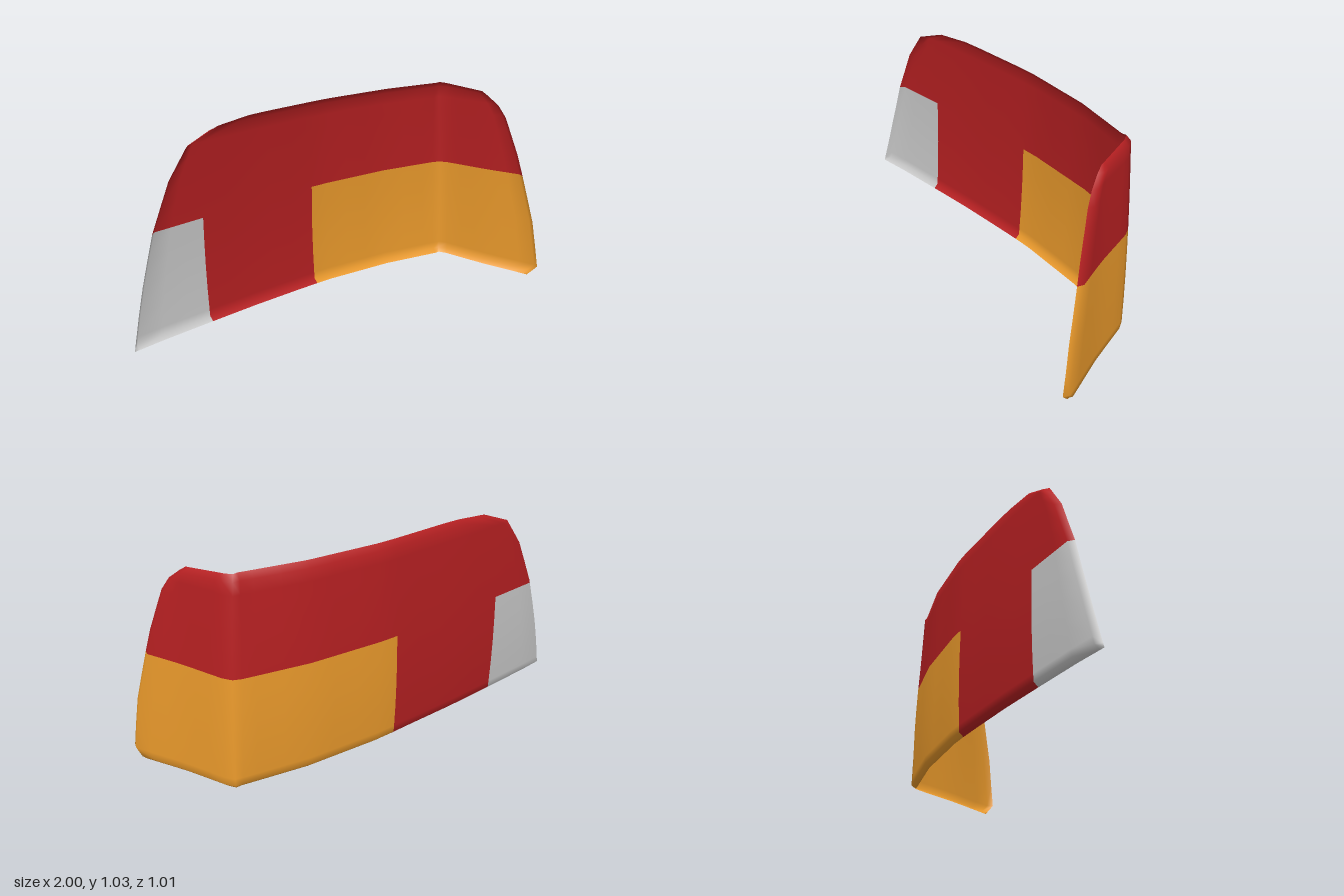
import * as THREE from 'three';

const { lerp, clamp } = THREE.MathUtils;

// Piecewise linear lookup in a list of [key, value] pairs
function look(table, k) {
  for (let i = 1; i < table.length; i++) {
    const [k0, v0] = table[i - 1], [k1, v1] = table[i];
    if (k <= k1 || i === table.length - 1) return lerp(v0, v1, clamp((k - k0) / (k1 - k0), 0, 1));
  }
}

// Plan of the lens: z along the rear panel, x along the side panel
const REAR = [[-1, -0.495], [-0.85, -0.482], [-0.56, -0.445], [-0.3, -0.41], [0.1, -0.343], [0.2, -0.323], [0.56, -0.223], [0.8, -0.125], [0.86, -0.1]];
const SIDE = [[-0.04, 0.902], [0.2, 0.93], [0.4, 0.967], [0.5, 0.985]];
// Outline: where the rear panel and the side panel end at each height
const REAR_END = [[0.035, -1], [0.3, -0.93], [0.567, -0.85], [0.8, -0.75], [0.94, -0.65], [1.007, -0.48]];
const SIDE_END = [[0.035, 0.45], [0.09, 0.505], [0.33, 0.465], [0.567, 0.4], [0.65, 0.38], [0.88, 0.3], [0.955, 0.25], [1.007, 0.17]];
const BAND = 0.567;
const ROWS = [0.035, 0.055, 0.09, 0.2, 0.33, 0.45, BAND, 0.68, 0.8, 0.88, 0.94, 0.985, 1.007];
const FACE = 0.015, LIP = -0.006;     // offsets of the face and of its turned-in rim
const GREY_END = 4, AMBER_START = 9;  // columns where the colours change

// One horizontal row, from the rear end round to the side end
function makeRow(y) {
  const xl = look(REAR_END, y), zr = look(SIDE_END, y), split = Math.max(-0.557, xl + 0.08);
  const plan = [];
  const rear = (x) => plan.push([x, look(REAR, x)]);
  rear(xl);
  for (let k = 0; k <= 3; k++) rear(lerp(xl + 0.025, split, k / 3));
  for (let k = 1; k <= 5; k++) rear(lerp(split, 0.103, k / 5));
  [0.2, 0.32, 0.44, 0.56, 0.68, 0.8, 0.86].forEach(rear);
  plan.push([0.888, -0.08]);
  for (let k = 0; k <= 6; k++) {
    const z = lerp(-0.04, zr - 0.025, k / 6);
    plan.push([look(SIDE, z), z]);
  }
  plan.push([look(SIDE, zr), zr]);

  return plan.map(([x, z]) => {
    const side = x > 0.87;
    // crowned top edge, lower edge falling towards the side end
    const inset = side ? (zr - z) / 0.24 : (x - xl) / 0.2;
    const crown = 0.02 * clamp(inset, 0, 1) * clamp((y - 0.94) / 0.067, 0, 1);
    const fall = side ? 0.01 + 0.025 * clamp((z + 0.05) / 0.5, 0, 1) : 0.01 * clamp(x / 0.88, 0, 1);
    const low = clamp((BAND - y) / (BAND - 0.035), 0, 1);
    // lean inwards with height, rear panel bellied
    const lean = 0.05 * Math.pow(y, 1.7) * clamp((x - 0.1) / 0.78, 0, 1);
    const belly = side ? 0 : (y < 0.4 ? 0.1 : 0.05) * (y - 0.4) ** 2;
    return new THREE.Vector3(x - lean, y + crown - fall * low, z + belly);
  });
}

export function createModel() {
  const grid = ROWS.map(makeRow);
  const nr = ROWS.length, nc = grid[0].length;
  const position = [], panes = [[], [], []];

  // A thin curved sheet whose border turns inwards as a lip
  grid.forEach((row, j) => row.forEach((p, i) => {
    const a = row[Math.max(i - 1, 0)], b = row[Math.min(i + 1, nc - 1)];
    const out = new THREE.Vector3(b.z - a.z, 0, a.x - b.x).normalize();
    const rim = i === 0 || j === 0 || i === nc - 1 || j === nr - 1;
    const q = p.clone().addScaledVector(out, rim ? LIP : FACE);
    position.push(q.x, q.y, q.z);
  }));
  for (let j = 0; j < nr - 1; j++) {
    for (let i = 0; i < nc - 1; i++) {
      const a = j * nc + i, b = a + 1, c = a + nc, d = c + 1;
      const low = ROWS[j + 1] <= BAND;
      panes[low && i < GREY_END ? 0 : low && i >= AMBER_START ? 2 : 1].push(a, d, b, a, c, d);
    }
  }

  const sheet = new THREE.BufferGeometry();
  sheet.setAttribute('position', new THREE.Float32BufferAttribute(position, 3));
  sheet.setIndex(panes.flat());
  sheet.computeVertexNormals();

  // Coloured panes share the sheet's smooth normals
  const group = new THREE.Group();
  group.name = 'wraparoundLampLens';
  [['clearPane', 0xcccccc], ['redPane', 0xb82022], ['amberPane', 0xec9b2c]].forEach(([name, color], k) => {
    const geo = new THREE.BufferGeometry();
    geo.setAttribute('position', sheet.attributes.position);
    geo.setAttribute('normal', sheet.attributes.normal);
    geo.setIndex(panes[k]);
    const mesh = new THREE.Mesh(geo, new THREE.MeshStandardMaterial({ color, side: THREE.DoubleSide }));
    mesh.name = name;
    group.add(mesh);
  });
  return group;
}
